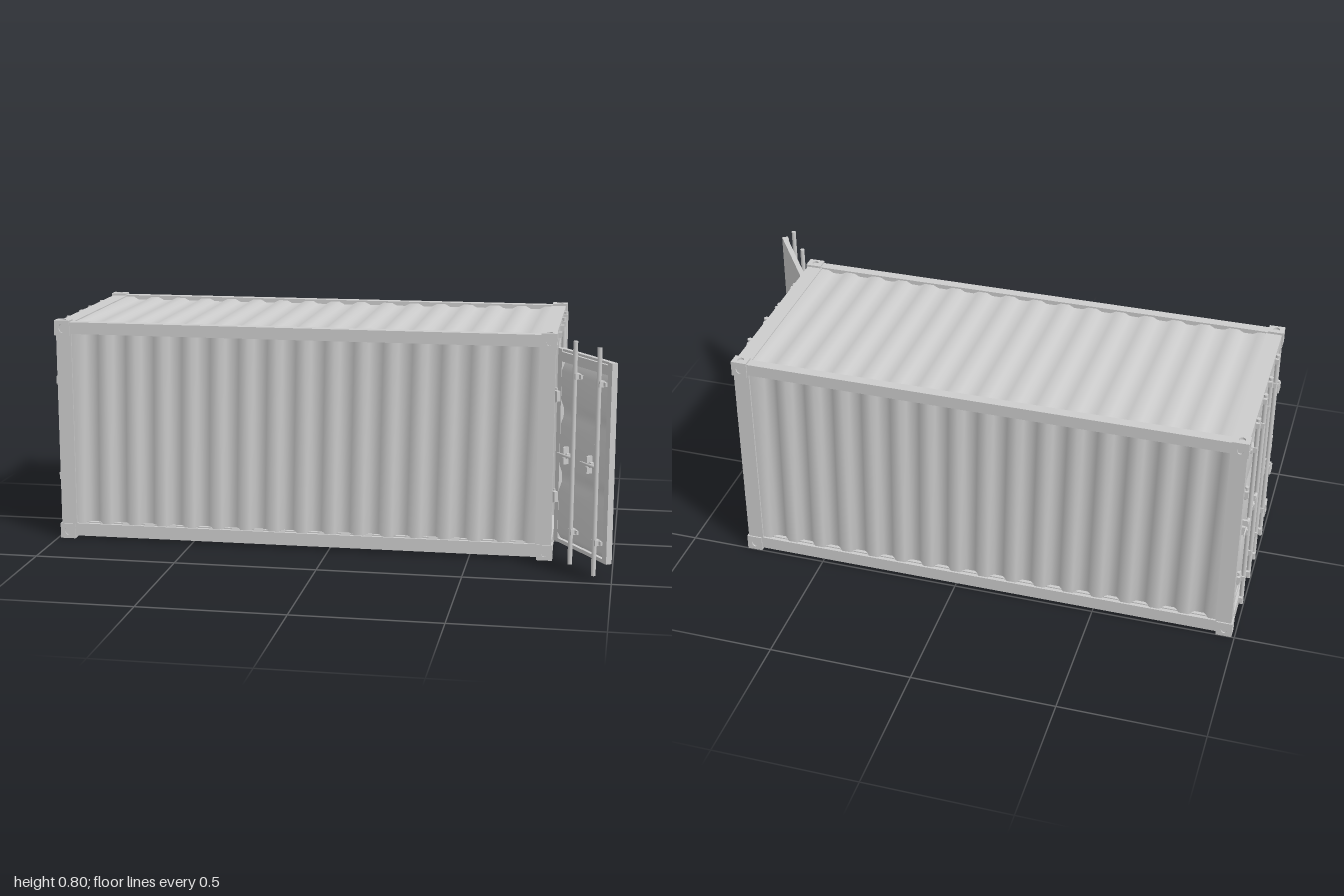
import * as THREE from 'three';

const steel = new THREE.MeshStandardMaterial({ color: 0xcccccc, side: THREE.DoubleSide });
steel.name = 'paintedSteel';

const L = 0.885, W = 0.373; // half length and half width of the frame

function add(parent, name, geometry, x = 0, y = 0, z = 0) {
  const mesh = new THREE.Mesh(geometry, steel);
  mesh.name = name;
  mesh.position.set(x, y, z);
  parent.add(mesh);
  return mesh;
}

// Box given by its lower and upper limits on each axis
function block(parent, name, [x0, x1], [y0, y1], [z0, z1]) {
  return add(parent, name, new THREE.BoxGeometry(x1 - x0, y1 - y0, z1 - z0),
    (x0 + x1) / 2, (y0 + y1) / 2, (z0 + z1) / 2);
}

// Folded sheet: profile points [along, depth] swept along y, facing +z
function sheet(profile, span) {
  const geo = new THREE.PlaneGeometry(1, span, profile.length - 1, 1);
  const p = geo.attributes.position;
  for (let i = 0; i < p.count; i++) {
    const [u, d] = profile[i % profile.length];
    p.setX(i, u);
    p.setZ(i, d);
  }
  geo.computeVertexNormals();
  return geo;
}

// Repeating trapezoid folds with flat margins at both ends
function corrugation(length, count, depth) {
  const pitch = length / (count + 0.3);
  const points = [];
  for (let i = 0; i < count; i++) {
    const u = -length / 2 + i * pitch;
    points.push([u, 0], [u + pitch * 0.32, 0], [u + pitch * 0.5, -depth], [u + pitch * 0.82, -depth]);
  }
  points.push([length / 2 - pitch * 0.3, 0], [length / 2, 0]);
  return points;
}

// Plate with an oval hole, used for the faces of the corner castings
function holedPlate(w, h) {
  const shape = new THREE.Shape([[-w, -h], [w, -h], [w, h], [-w, h]]
    .map(([x, y]) => new THREE.Vector2(x / 2, y / 2)));
  const hole = new THREE.Path();
  hole.absellipse(0, 0, w * 0.2, h * 0.28, 0, Math.PI * 2, true);
  shape.holes.push(hole);
  return new THREE.ExtrudeGeometry(shape, { depth: 0.007, bevelEnabled: false, curveSegments: 8 });
}

// Corner casting whose outer faces look to +x, +y and +z
function cornerCasting() {
  const g = new THREE.Group();
  g.name = 'cornerCasting';
  const x = 0.055, y = 0.055, z = 0.045;
  add(g, 'castingCore', new THREE.BoxGeometry(x - 0.007, y - 0.007, z - 0.007), -0.0035, -0.0035, -0.0035);
  add(g, 'castingSide', holedPlate(x, y), 0, 0, z / 2 - 0.007);
  add(g, 'castingEnd', holedPlate(z, y), x / 2 - 0.007).rotation.y = Math.PI / 2;
  add(g, 'castingCap', holedPlate(x, z), 0, y / 2 - 0.007).rotation.x = -Math.PI / 2;
  return g;
}

// Door with its hinge line at the origin, reaching along -z, outside facing +x
function door() {
  const g = new THREE.Group();
  g.name = 'door';
  const w = 0.338, y0 = 0.065, y1 = 0.745;
  block(g, 'doorBack', [-0.03, -0.022], [y0, y1], [-w, 0]);
  for (const z of [-0.025, -w]) block(g, 'doorStile', [-0.022, -0.008], [y0, y1], [z, z + 0.025]);
  block(g, 'doorTopRail', [-0.022, -0.008], [0.702, 0.735], [-w + 0.025, -0.025]);
  block(g, 'doorTopSeal', [-0.022, -0.012], [0.737, y1], [-w + 0.025, -0.025]);
  block(g, 'doorBottomRail', [-0.022, -0.008], [y0, 0.078], [-w + 0.025, -0.025]);

  // Pressed panel with horizontal folds
  const folds = [[0.078, -0.021], [0.1, -0.009], [0.25, -0.009], [0.28, -0.021], [0.31, -0.021],
    [0.34, -0.009], [0.48, -0.009], [0.51, -0.021], [0.54, -0.021], [0.57, -0.009], [0.67, -0.009], [0.698, -0.021]];
  const panel = sheet(folds, w - 0.05);
  panel.rotateZ(Math.PI / 2).rotateY(Math.PI / 2);
  add(g, 'doorPanel', panel, 0, 0, -w / 2);

  for (const z of [-0.135, -0.285]) {
    add(g, 'lockBar', new THREE.CylinderGeometry(0.008, 0.008, 0.775, 12), 0.007, 0.4025, z);
    for (const y of [0.13, 0.67]) {
      block(g, 'barGuide', [-0.01, 0.012], [y - 0.01, y + 0.01], [z - 0.012, z + 0.012]);
      block(g, 'barGuideFoot', [-0.01, -0.002], [y - 0.007, y + 0.007], [z - 0.025, z + 0.025]);
    }
    // Tapered handle with its upright catch
    const handle = add(g, 'lockHandle', new THREE.CylinderGeometry(0.002, 0.007, 0.105, 8), 0.006, 0.386, z + 0.0525);
    handle.rotation.x = Math.PI / 2;
    block(g, 'handleCatch', [-0.01, 0.012], [0.355, 0.378], [z + 0.051, z + 0.06]);
    block(g, 'handleCatch', [-0.01, 0.012], [0.392, 0.415], [z + 0.051, z + 0.06]);
    block(g, 'handlePlate', [-0.01, 0.004], [0.376, 0.394], [z + 0.04, z + 0.07]);
  }
  for (const y of [0.225, 0.58]) {
    block(g, 'hingeLeaf', [-0.01, 0.006], [y - 0.018, y + 0.018], [-0.022, 0]);
  }
  return g;
}

// End frame facing +x with a pair of doors, opened by the given angle on the +z side
function endFrame(openAngle) {
  const g = new THREE.Group();
  g.name = 'endFrame';
  block(g, 'endHeader', [0.83, L], [0.748, 0.792], [-W, W]);
  block(g, 'endSill', [0.83, L], [0.01, 0.062], [-W, W]);
  for (const s of [1, -1]) {
    const post = block(g, 'cornerPost', [0.83, L], [0.05, 0.75], [0.331, W]);
    post.position.z *= s;
    for (const y of [0.225, 0.58]) {
      add(g, 'hingeBracket', new THREE.BoxGeometry(0.018, 0.026, 0.014), 0.888, y, s * 0.342);
      add(g, 'hingePin', new THREE.CylinderGeometry(0.006, 0.006, 0.05, 10), 0.89, y, s * 0.334);
    }
    // Keepers on the header and sill, one pair for each lock bar
    for (const z of [0.055, 0.205]) for (const y of [0.04, 0.77]) for (const d of [-0.012, 0.012]) {
      add(g, 'barKeeper', new THREE.BoxGeometry(0.018, 0.02, 0.012), 0.889, y, s * z + d);
    }
    const leaf = door();
    leaf.position.set(L, 0, s * 0.34);
    leaf.scale.z = s;
    if (s > 0) leaf.rotation.y = -openAngle;
    g.add(leaf);
  }
  return g;
}

export function createModel() {
  const model = new THREE.Group();
  model.name = 'shippingContainer';
  const body = new THREE.Group();
  body.name = 'containerBody';
  body.position.set(-0.1, 0, -0.122);
  model.add(body);

  block(body, 'floor', [-0.87, 0.87], [0.012, 0.06], [-0.36, 0.36]);

  // Long sides: rails and corrugated walls
  for (const s of [1, -1]) {
    const side = new THREE.Group();
    side.name = 'longSide';
    side.rotation.y = s > 0 ? 0 : Math.PI;
    block(side, 'topRail', [-0.84, 0.84], [0.752, 0.794], [0.338, W]);
    block(side, 'bottomRail', [-0.84, 0.84], [0.01, 0.056], [0.338, W]);
    add(side, 'sideWall', sheet(corrugation(1.67, 16, 0.018), 0.71), 0, 0.404, 0.366);
    body.add(side);
  }

  // Roof with folds running across
  add(body, 'roof', sheet(corrugation(1.67, 16, 0.01), 0.7), 0, 0.788, 0).rotation.x = -Math.PI / 2;

  // Ends: one closed, one with a door swung out
  const closedEnd = endFrame(0);
  closedEnd.rotation.y = Math.PI;
  body.add(closedEnd, endFrame(THREE.MathUtils.degToRad(146)));

  // Eight corner castings, mirrored from one
  for (const x of [1, -1]) for (const y of [1, -1]) for (const z of [1, -1]) {
    const casting = cornerCasting();
    casting.scale.set(x, y, z);
    casting.position.set(x * 0.8625, 0.4 + y * 0.3725, z * 0.3555);
    body.add(casting);
  }
  return model;
}
